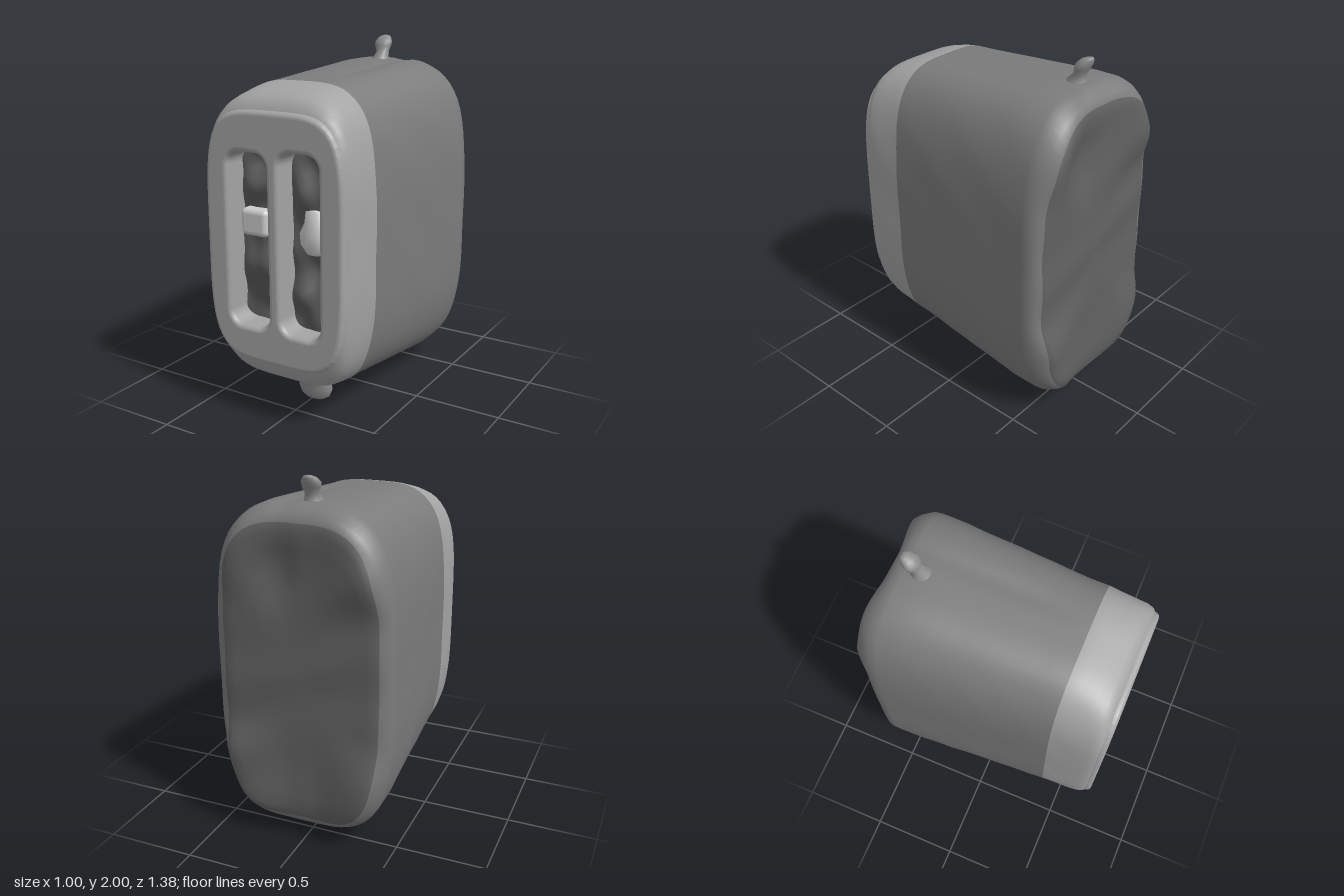
import * as THREE from 'three';
import { RoundedBoxGeometry } from 'three/addons/geometries/RoundedBoxGeometry.js';

const paint = (color) => new THREE.MeshStandardMaterial({ color });
const frontGrey = paint(0xa4a4a4), shellGrey = paint(0x7c7c7c), backGrey = paint(0x626262);
const slotGrey = paint(0x5c5c5c), lightGrey = paint(0xcccccc), knobGrey = paint(0x8c8c8c);
const smooth = THREE.MathUtils.smoothstep;

// Skin a list of closed point rings, all with the same number of points
function loft(rings) {
  const n = rings[0].length, index = [];
  for (let i = 0; i < rings.length - 1; i++) {
    for (let j = 0; j < n; j++) {
      const a = i * n + j, b = i * n + (j + 1) % n;
      index.push(a, a + n, b, b, a + n, b + n);
    }
  }
  const geometry = new THREE.BufferGeometry().setFromPoints(rings.flat());
  geometry.setIndex(index);
  geometry.computeVertexNormals();
  return geometry;
}

// Rounded rectangle (superellipse) outline, counter-clockwise seen from the front
const SIDES = 96;
function outline(w, bottom, top, power, scale = 1) {
  const mid = (bottom + top) / 2, h = (top - bottom) / 2;
  return Array.from({ length: SIDES }, (_, i) => {
    const a = i / SIDES * Math.PI * 2, c = Math.cos(a), s = Math.sin(a);
    const r = scale * Math.pow(Math.abs(c) ** power + Math.abs(s) ** power, -1 / power);
    return new THREE.Vector2(w * r * c, mid + h * r * s);
  });
}

// Upright blob from [x, y, z, radiusX, radiusZ] rings, bottom to top
function blob(sections, count = 16) {
  return loft(sections.map(([x, y, z, rx, rz]) => Array.from({ length: count }, (_, i) => {
    const a = i / count * Math.PI * 2;
    return new THREE.Vector3(x + rx * Math.cos(a), y, z + rz * Math.sin(a));
  })));
}

// Body shell: z, half width, bottom, top, corner power, scale
const FACE = [0.425, 0.335, 1.69, 4.3];
function bodyGeometry() {
  const sections = [
    [0.66, ...FACE], [0.645, 0.434, 0.295, 1.725, 4.2], [0.61, 0.44, 0.245, 1.757, 4],
    [0.55, 0.443, 0.21, 1.78, 3.8], [0.46, 0.446, 0.185, 1.805, 3.6], [0.4, 0.448, 0.175, 1.815, 3.6]
  ];
  const frontEnd = sections.length - 1;
  for (let z = 0.3; z > -0.5; z -= 0.1) {
    const t = (0.4 - z) / 0.9;
    sections.push([z, 0.448 + 0.045 * t, 0.175 - 0.11 * t, 1.815 + 0.06 * t, 3.5]);
  }
  sections.push([-0.54, 0.498, 0.078, 1.87, 3.4], [-0.59, 0.495, 0.095, 1.85, 3.5],
    [-0.64, 0.465, 0.118, 1.82, 3.6], [-0.675, 0.437, 0.145, 1.785, 3.7]);
  const backStart = sections.length - 1;
  for (const s of [0.95, 0.85, 0.7, 0.55, 0.4, 0.25, 0.1, 0]) {
    sections.push([-0.69, 0.43, 0.155, 1.775, 3.7, s]);
  }
  const rings = sections.map(([z, w, b, t, p, s = 1]) => outline(w, b, t, p, s).map(({ x, y }) => {
    const v = new THREE.Vector3(x, y, z);
    // Sagging back panel with a dent near its upper left
    if (z < -0.6) {
      const ends = smooth(Math.abs(y - 1), 0.3, 0.55) * smooth(Math.abs(x), 0.05, 0.36);
      const amount = smooth(-z, 0.6, 0.69);
      v.z += amount * (0.045 * (1 - ends)
        + 0.05 * Math.exp(-(((x - 0.14) / 0.15) ** 2) - ((y - 1.52) / 0.16) ** 2)
        + 0.005 * Math.sin(y * 17 + x * 5));
    } else if (z < 0.6) {
      // Slightly uneven skin and a shallow groove along the top
      v.x *= 1 + 0.006 * Math.sin(z * 19 + x * 9) * Math.sin(y * 13 + z * 6);
      if (y > 1.6) v.y -= 0.012 * Math.exp(-(((x - 0.1) / 0.05) ** 2)) * smooth(-z, -0.4, 0);
    }
    return v;
  }));
  // Front rim, sides and back panel take their own shade
  const geometry = loft(rings), perRing = SIDES * 6;
  geometry.addGroup(0, frontEnd * perRing, 0);
  geometry.addGroup(frontEnd * perRing, (backStart - frontEnd) * perRing, 1);
  geometry.addGroup(backStart * perRing, (sections.length - 1 - backStart) * perRing, 2);
  return geometry;
}

// Rounded slot hole
function slotPath(x0, x1, y0, y1, r = 0.075) {
  const p = new THREE.Path();
  p.absarc(x1 - r, y0 + r, r, -Math.PI / 2, 0);
  p.absarc(x1 - r, y1 - r, r, 0, Math.PI / 2);
  p.absarc(x0 + r, y1 - r, r, Math.PI / 2, Math.PI);
  p.absarc(x0 + r, y0 + r, r, Math.PI, Math.PI * 1.5);
  p.closePath();
  return p;
}

// Front plate with two slots and softened rims
function faceGeometry() {
  const shape = new THREE.Shape(outline(...FACE));
  shape.holes.push(slotPath(-0.28, -0.035, 0.53, 1.47), slotPath(0.04, 0.28, 0.53, 1.49));
  return new THREE.ExtrudeGeometry(shape, {
    depth: 0.18, bevelThickness: 0.03, bevelSize: 0.026, bevelOffset: -0.026,
    bevelSegments: 5, curveSegments: 8
  }).translate(0, 0, 0.48);
}

// Lumpy slot floor; bumps are [x, y, radius, height]
function floorGeometry(x, bumps) {
  const geometry = new THREE.PlaneGeometry(0.28, 1.02, 20, 64).translate(x, 1.005, 0.55);
  const pos = geometry.attributes.position;
  for (let i = 0; i < pos.count; i++) {
    const px = pos.getX(i), py = pos.getY(i);
    let z = pos.getZ(i) + 0.01 * Math.sin(py * 21 + px * 12) * Math.cos(px * 25 - py * 8);
    for (const [bx, by, r, h] of bumps) {
      z += h * Math.exp(-((px - bx) ** 2 + (py - by) ** 2) / (r * r));
    }
    pos.setZ(i, z);
  }
  geometry.computeVertexNormals();
  return geometry;
}

export function createModel() {
  const model = new THREE.Group();
  const add = (name, geometry, material) => {
    const mesh = new THREE.Mesh(geometry, material);
    mesh.name = name;
    model.add(mesh);
  };

  add('body', bodyGeometry(), [frontGrey, shellGrey, backGrey]);
  add('slottedFace', faceGeometry(), frontGrey);

  // Slot floors with the pale pieces lying in them
  add('rightSlotFloor', floorGeometry(-0.158,
    [[-0.14, 0.83, 0.11, 0.05], [-0.16, 1.27, 0.08, 0.03], [-0.16, 1.4, 0.08, -0.04], [-0.16, 0.6, 0.07, -0.03]]), slotGrey);
  add('leftSlotFloor', floorGeometry(0.16,
    [[0.12, 1.27, 0.08, 0.04], [0.1, 0.7, 0.08, 0.04], [0.2, 0.85, 0.09, -0.03], [0.16, 1.41, 0.07, -0.03]]), slotGrey);
  add('rightSlotBlock', new RoundedBoxGeometry(0.17, 0.15, 0.09, 3, 0.03).translate(-0.18, 1.08, 0.565), lightGrey);
  add('leftSlotPiece', blob([
    [0.18, 0.95, 0.56, 0, 0], [0.18, 0.955, 0.56, 0.05, 0.03], [0.18, 1, 0.56, 0.085, 0.045],
    [0.175, 1.06, 0.56, 0.085, 0.05], [0.175, 1.12, 0.56, 0.055, 0.04], [0.175, 1.18, 0.56, 0.05, 0.03],
    [0.175, 1.19, 0.56, 0, 0]]), lightGrey);

  // Two knobs underneath
  add('frontFoot', blob([
    [0.01, 0, 0.31, 0, 0], [0.01, 0.004, 0.31, 0.06, 0.032], [0.01, 0.025, 0.31, 0.092, 0.046],
    [0.01, 0.07, 0.31, 0.11, 0.05], [0.01, 0.12, 0.315, 0.1, 0.05], [0.01, 0.16, 0.32, 0.08, 0.065],
    [0.01, 0.22, 0.32, 0.08, 0.08]]), knobGrey);
  add('backFoot', blob([
    [0, 0.01, -0.375, 0, 0], [0, 0.012, -0.375, 0.06, 0.05], [0, 0.035, -0.365, 0.085, 0.07],
    [0, 0.07, -0.36, 0.08, 0.065], [0, 0.12, -0.36, 0.09, 0.09]]), shellGrey);

  // Bent lever on top
  add('lever', blob([
    [-0.015, 1.82, -0.46, 0.07, 0.08], [-0.015, 1.875, -0.465, 0.045, 0.05],
    [-0.015, 1.91, -0.485, 0.037, 0.034], [-0.018, 1.94, -0.495, 0.05, 0.038],
    [-0.02, 1.965, -0.505, 0.052, 0.042], [-0.02, 1.988, -0.52, 0.038, 0.032],
    [-0.02, 2, -0.535, 0.02, 0.018], [-0.02, 2, -0.535, 0, 0]]), knobGrey);
  return model;
}
